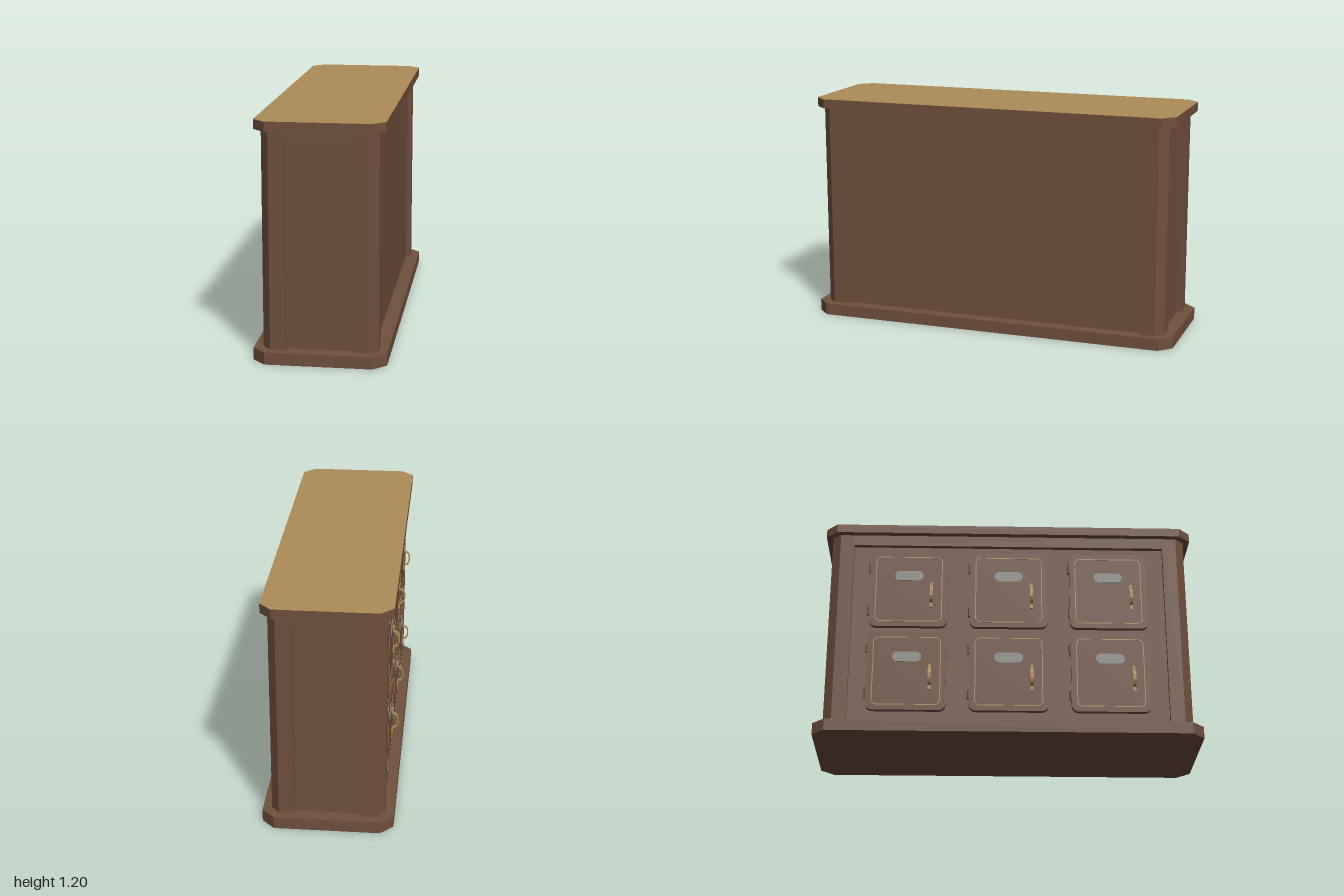
import * as THREE from 'three';

const mat = (name, color) => {
  const m = new THREE.MeshStandardMaterial({ color });
  m.name = name;
  return m;
};

export function createModel() {
  const wood = mat('brown wood', 0x70503d);
  const gold = mat('gold', 0xae8d59);
  const silver = mat('silver grey', 0x8e8e8a);
  const root = new THREE.Group();
  root.name = 'lockerCabinet';

  const add = (parent, name, geo, material, x = 0, y = 0, z = 0) => {
    const m = new THREE.Mesh(geo, material);
    m.name = name;
    m.position.set(x, y, z);
    parent.add(m);
    return m;
  };
  const poly = (pts) => new THREE.Shape(pts.map(([x, y]) => new THREE.Vector2(x, y)));
  const extrude = (shape, depth) =>
    new THREE.ExtrudeGeometry(shape, { depth, bevelEnabled: false, curveSegments: 6 });
  const upright = (shape, h) => extrude(shape, h).rotateX(-Math.PI / 2);

  // Rectangle with cut corners
  const octagon = (w, l, c) => poly([
    [w, -l + c], [w, l - c], [w - c, l], [-w + c, l],
    [-w, l - c], [-w, -l + c], [-w + c, -l], [w - c, -l]]);
  // Rectangle with round corners
  const rounded = (Type, w, h, r) => {
    const s = new Type(), a = w / 2, b = h / 2;
    s.moveTo(-a + r, -b);
    s.lineTo(a - r, -b);
    s.absarc(a - r, -b + r, r, -Math.PI / 2, 0);
    s.lineTo(a, b - r);
    s.absarc(a - r, b - r, r, 0, Math.PI / 2);
    s.lineTo(-a + r, b);
    s.absarc(-a + r, b - r, r, Math.PI / 2, Math.PI);
    s.lineTo(-a, -b + r);
    s.absarc(-a + r, -b + r, r, Math.PI, Math.PI * 1.5);
    return s;
  };

  // Plinth and countertop
  add(root, 'plinth', upright(octagon(0.33, 1, 0.065), 0.062), wood);
  add(root, 'counterSlab', upright(octagon(0.318, 0.985, 0.062), 0.047), wood, 0, 1.15);
  add(root, 'counterSurface',
    new THREE.ShapeGeometry(octagon(0.318, 0.985, 0.062)).rotateX(-Math.PI / 2), gold, 0, 1.199);

  // Recessed side panels
  add(root, 'bodyPanels', new THREE.BoxGeometry(0.52, 1.09, 1.85), wood, 0, 0.606, 0);

  // Corner posts and top rails
  for (const sx of [-1, 1]) {
    for (const sz of [-1, 1]) {
      const post = poly([[0.168, 0.95], [0.245, 0.95], [0.285, 0.905], [0.285, 0.83], [0.168, 0.83]]
        .map(([x, z]) => [x * sx, z * sz]));
      add(root, 'cornerPost', upright(post, 1.09), wood, 0, 0.061);
    }
    add(root, 'longRail', new THREE.BoxGeometry(0.04, 0.06, 1.67), wood, sx * 0.265, 1.12, 0);
    add(root, 'endRail', new THREE.BoxGeometry(0.34, 0.06, 0.04), wood, 0, 1.12, sx * 0.93);
  }

  // Handle outline: a bowed flat strip, (distance out, height)
  const handleShape = poly([
    [0, 0.073], [0.01, 0.073], [0.01, 0.046], [0.029, 0.036], [0.038, 0.016],
    [0.038, -0.016], [0.029, -0.036], [0.01, -0.046], [0.01, -0.073], [0, -0.073],
    [0, -0.052], [0.006, -0.04], [0.025, -0.031], [0.032, -0.014],
    [0.032, 0.014], [0.025, 0.031], [0.006, 0.04], [0, 0.052]]);
  const handleGeo = extrude(handleShape, 0.016).translate(0, 0, -0.008).rotateY(-Math.PI / 2);
  const doorGeo = extrude(rounded(THREE.Shape, 0.41, 0.44, 0.035), 0.025);
  const ring = rounded(THREE.Shape, 0.355, 0.385, 0.03);
  ring.holes.push(rounded(THREE.Path, 0.345, 0.375, 0.025));
  const ringGeo = extrude(ring, 0.002);
  const plateGeo = extrude(rounded(THREE.Shape, 0.15, 0.056, 0.025), 0.003);
  const hingeGeo = new THREE.CylinderGeometry(0.009, 0.009, 0.05, 10);

  // Six doors, local +z facing outward
  for (const y of [0.353, 0.828]) {
    for (const z of [-0.53, 0, 0.53]) {
      const door = new THREE.Group();
      door.name = 'door';
      door.position.set(-0.259, y, z);
      door.rotation.y = -Math.PI / 2;
      root.add(door);
      add(door, 'doorPanel', doorGeo, wood);
      add(door, 'doorInlay', ringGeo, gold, 0, 0, 0.0245);
      add(door, 'namePlate', plateGeo, silver, 0, 0.079, 0.0245);
      add(door, 'handle', handleGeo, gold, 0.12, -0.038, 0.0245);
      for (const s of [-1, 1]) add(door, 'hinge', hingeGeo, wood, -0.207, s * 0.13, 0.014);
    }
  }
  return root;
}
